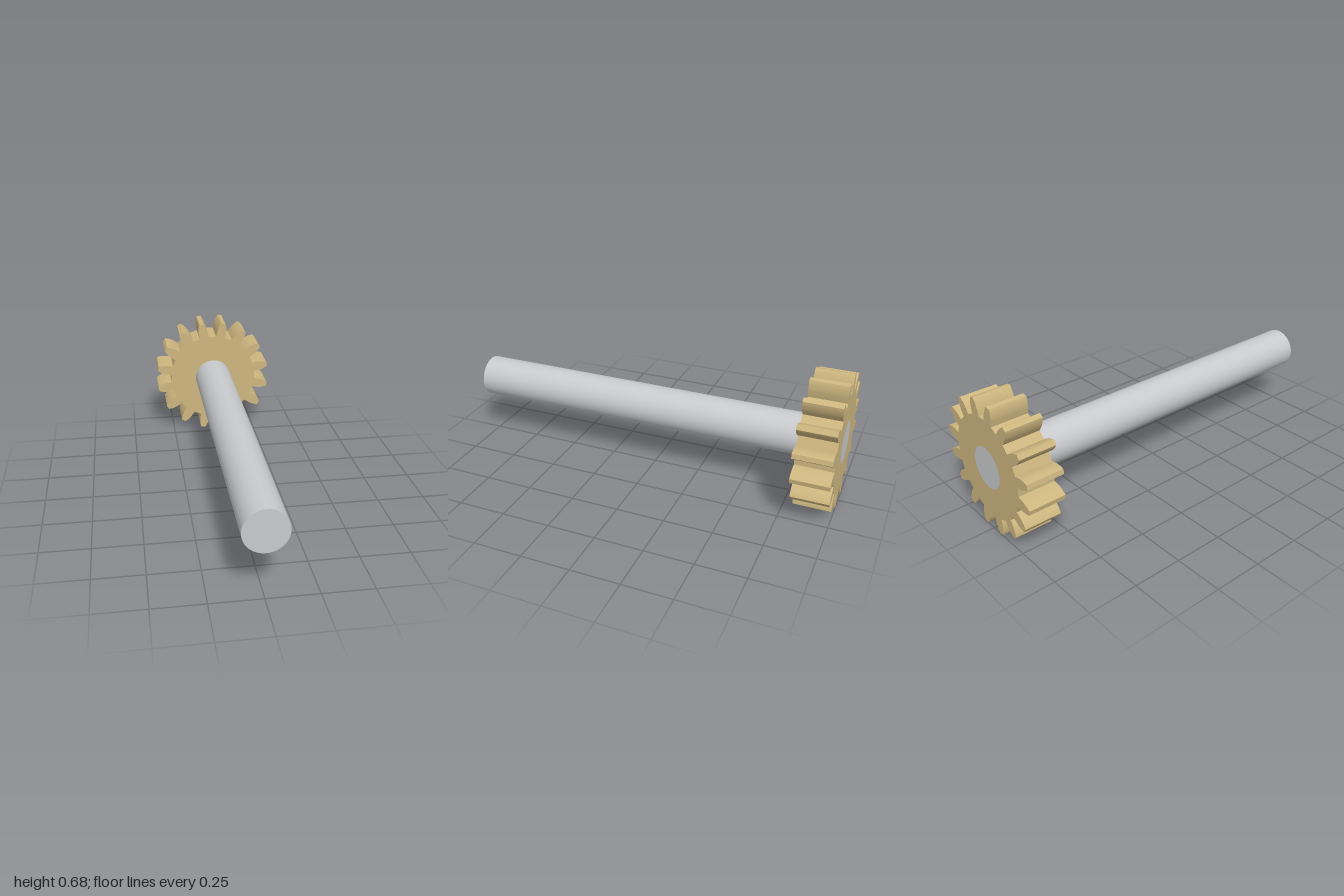
import * as THREE from 'three';

const TEETH = 16;
const AXIS_Y = 0.3415;
const SHAFT_R = 0.107;

// Half tooth outline, root to tip: [radius, half angle in degrees]
const FLANK = [[0.26, 6.3], [0.274, 6.0], [0.293, 5.5], [0.305, 5.0], [0.3175, 4.3], [0.333, 3.2], [0.3455, 2.0]];

const polar = (r, deg) => {
  const a = THREE.MathUtils.degToRad(deg);
  return new THREE.Vector2(r * Math.cos(a), r * Math.sin(a));
};

// Smooth curved flank on one side of a tooth centred at the given angle
const flank = (centre, side) =>
  new THREE.SplineCurve(FLANK.map(([r, half]) => polar(r, centre + side * half))).getPoints(14);

export function createModel() {
  const brass = new THREE.MeshStandardMaterial({ color: 0xcdb67f });
  brass.name = 'brass';
  const steel = new THREE.MeshStandardMaterial({ color: 0xc8cacd });
  steel.name = 'steel';

  const model = new THREE.Group();
  model.name = 'pinionShaft';

  // Toothed outline with straight roots between the teeth and a bore for the shaft
  const outline = [];
  for (let i = 0; i < TEETH; i++) {
    const centre = ((i + 0.5) * 360) / TEETH;
    outline.push(...flank(centre, -1), ...flank(centre, 1).reverse());
  }
  const shape = new THREE.Shape(outline);
  shape.holes.push(new THREE.Path().absarc(0, 0, SHAFT_R, 0, Math.PI * 2, true));
  const gear = new THREE.Mesh(
    new THREE.ExtrudeGeometry(shape, { depth: 0.19, bevelEnabled: false, curveSegments: 64 }),
    brass
  );
  gear.name = 'gear';
  gear.position.set(0, AXIS_Y, -1);
  model.add(gear);

  // Shaft running the full length, flush with the back of the gear
  const shaft = new THREE.Mesh(new THREE.CylinderGeometry(SHAFT_R, SHAFT_R, 2, 64), steel);
  shaft.name = 'shaft';
  shaft.rotation.x = Math.PI / 2;
  shaft.position.y = AXIS_Y;
  model.add(shaft);

  return model;
}
